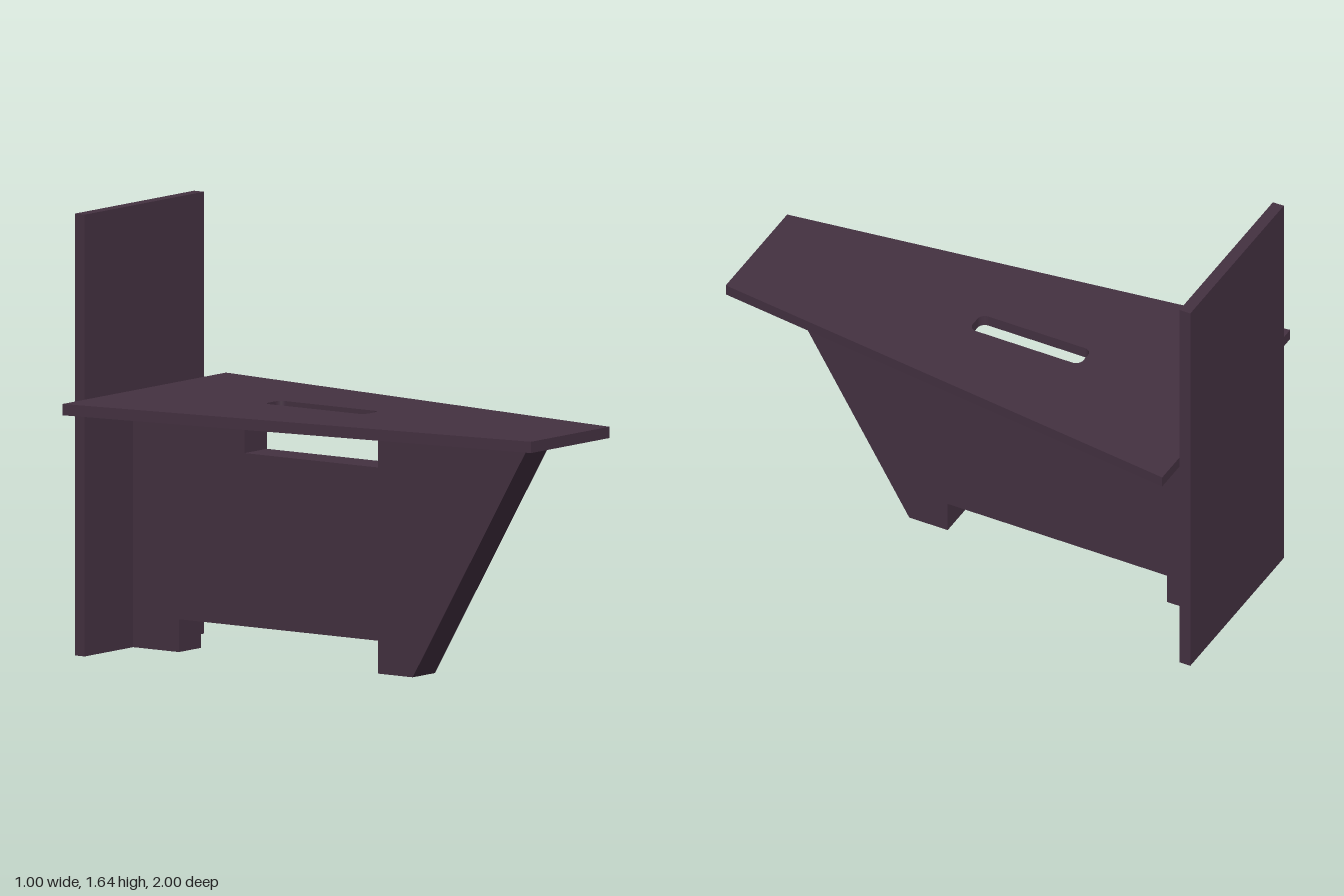
import * as THREE from 'three';

const material = new THREE.MeshStandardMaterial({ color: 0x443141 });

function polygon(points) {
  return new THREE.Shape(points.map(([a, b]) => new THREE.Vector2(a, b)));
}

function roundedSlot(x0, x1, y0, y1, r) {
  const path = new THREE.Path();
  path.absarc(x1 - r, y1 - r, r, 0, Math.PI / 2);
  path.absarc(x0 + r, y1 - r, r, Math.PI / 2, Math.PI);
  path.absarc(x0 + r, y0 + r, r, Math.PI, Math.PI * 1.5);
  path.absarc(x1 - r, y0 + r, r, Math.PI * 1.5, Math.PI * 2);
  path.closePath();
  return path;
}

function board(name, shape, depth) {
  const geometry = new THREE.ExtrudeGeometry(shape, { depth, bevelEnabled: false, curveSegments: 8 });
  const mesh = new THREE.Mesh(geometry, material);
  mesh.name = name;
  return mesh;
}

export function createModel() {
  const group = new THREE.Group();
  group.name = 'benchChair';

  // Tapered seat with a hand slot, drawn in x/z and extruded downwards
  const seatShape = polygon([[-0.5, -0.955], [0.5, -0.955], [0.24, 1], [-0.24, 1]]);
  seatShape.holes.push(roundedSlot(-0.049, 0.049, -0.37, 0.09, 0.03));
  const seat = board('seat', seatShape, 0.042);
  seat.rotation.x = Math.PI / 2;
  seat.position.y = 0.953;
  group.add(seat);

  // Central support with slanted front, hand notch above and foot notch below, drawn in z/y
  const supportShape = polygon([
    [-0.955, 0], [-0.745, 0], [-0.745, 0.122], [0.168, 0.122], [0.168, 0], [0.328, 0],
    [0.865, 0.911], [0.168, 0.911], [0.168, 0.765], [-0.443, 0.765], [-0.443, 0.911], [-0.955, 0.911],
  ]);
  const support = board('centralSupport', supportShape, 0.136);
  support.rotation.y = -Math.PI / 2;
  support.position.x = 0.068;
  group.add(support);

  // Upright back board reaching the floor
  const back = new THREE.Mesh(new THREE.BoxGeometry(0.73, 1.64, 0.045), material);
  back.name = 'backBoard';
  back.position.set(0, 0.82, -0.9775);
  group.add(back);

  return group;
}
